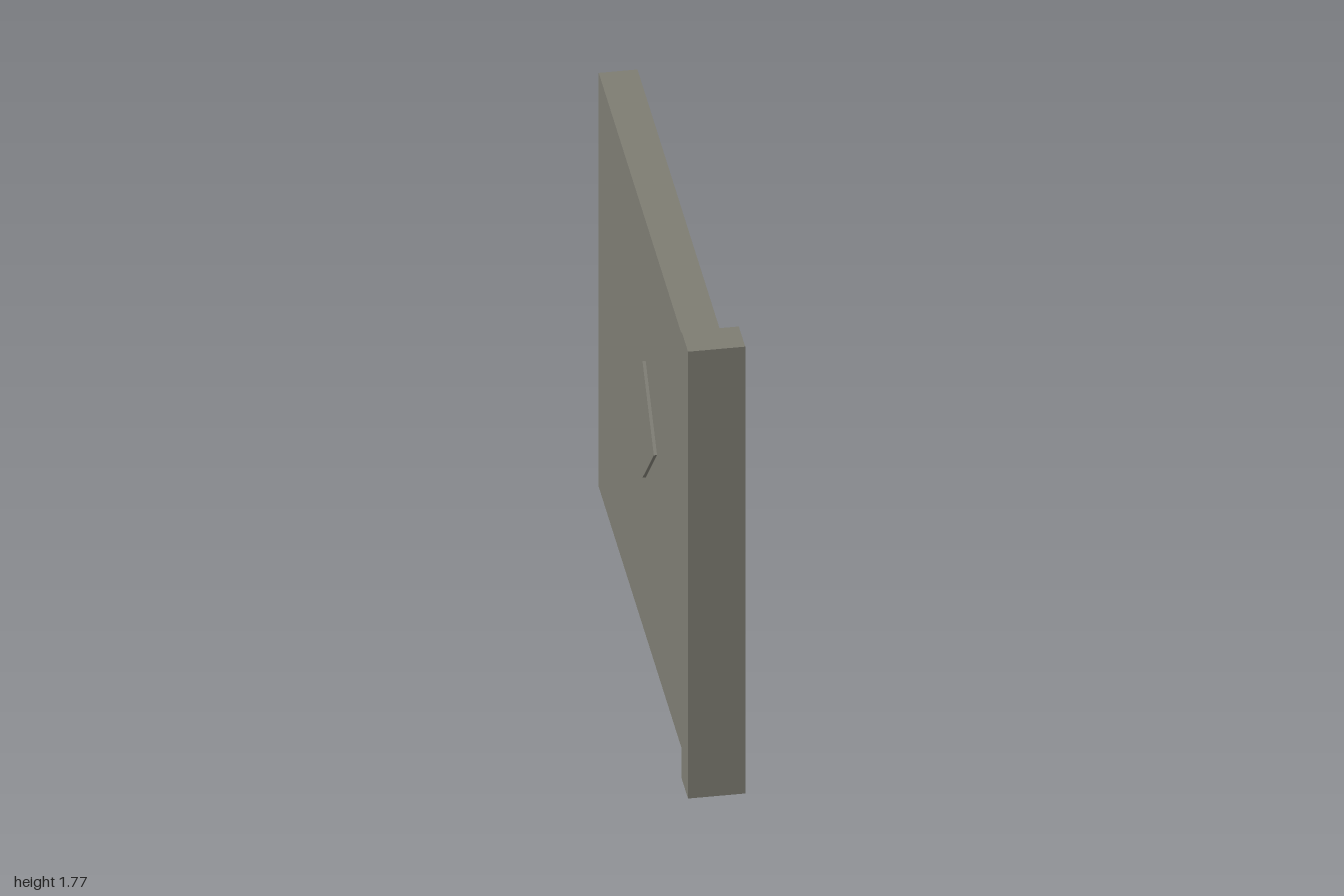
import * as THREE from 'three';

export function createModel() {
  const group = new THREE.Group();
  const stone = new THREE.MeshStandardMaterial({ color: 0x7d7c72 });
  stone.name = 'grey stone';

  function addBox(name, size, position) {
    const mesh = new THREE.Mesh(new THREE.BoxGeometry(...size), stone);
    mesh.name = name;
    mesh.position.set(...position);
    group.add(mesh);
    return mesh;
  }

  // Tall end post at the front
  const postHeight = 1.77, postDepth = 0.13;
  addBox('endPost', [0.195, postHeight, postDepth], [0, postHeight / 2, 1 - postDepth / 2]);

  // Wall panel running back from the post
  const wallHeight = 1.64, wallLength = 2 - postDepth;
  addBox('wallPanel', [0.132, wallHeight, wallLength], [0, wallHeight / 2, -postDepth / 2]);

  // Raised diamond on each side of the wall
  const side = 0.231 * Math.SQRT2;
  for (const s of [1, -1]) {
    const diamond = addBox(s > 0 ? 'leftDiamond' : 'rightDiamond', [0.021, side, side], [s * 0.0665, 0.855, -0.047]);
    diamond.rotation.x = Math.PI / 4;
  }

  return group;
}
